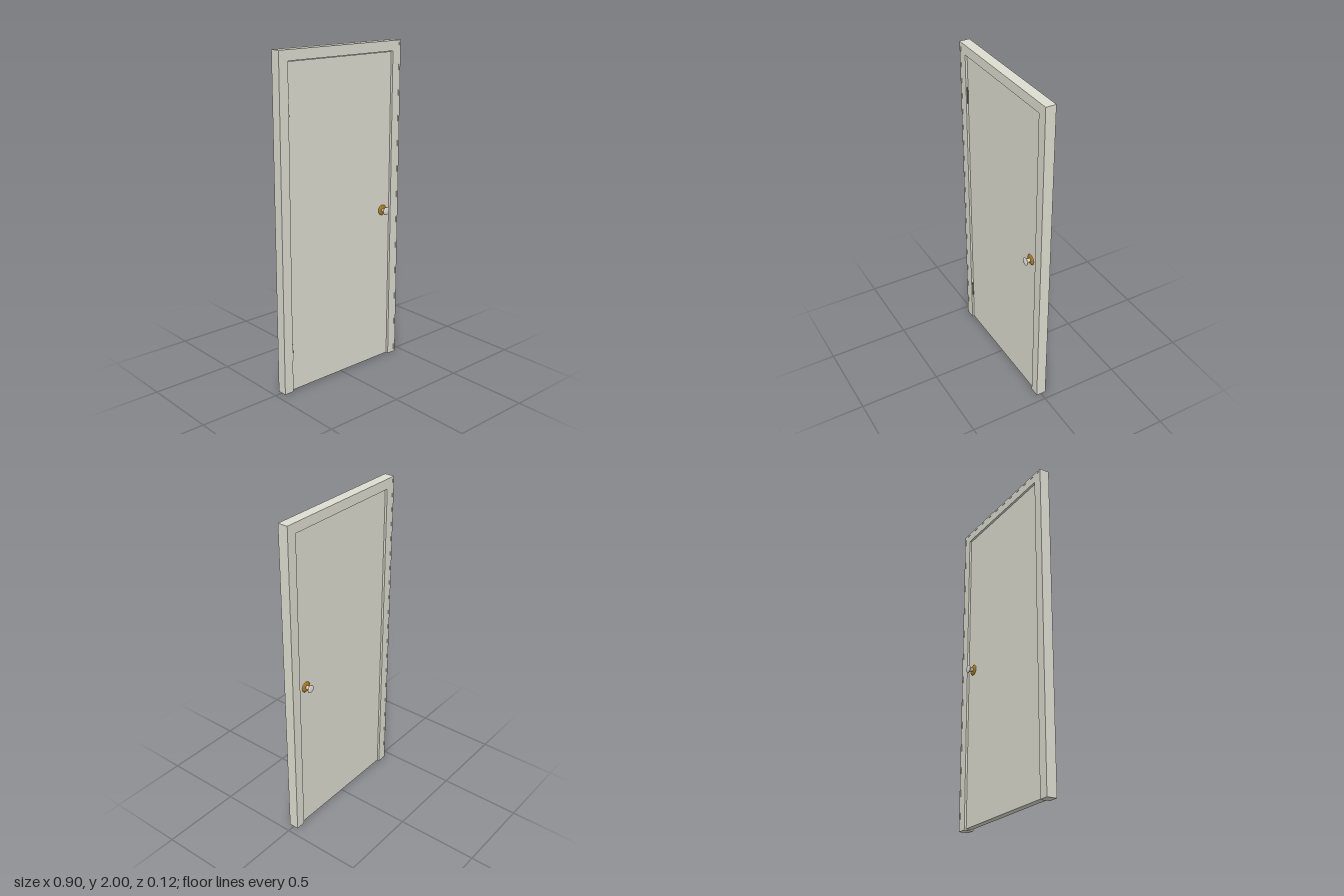
import * as THREE from 'three';

const paint = new THREE.MeshStandardMaterial({ color: 0xdcdccf });
const brass = new THREE.MeshStandardMaterial({ color: 0xb07c1c });
const porcelain = new THREE.MeshStandardMaterial({ color: 0xe2ded6 });
const steel = new THREE.MeshStandardMaterial({ color: 0x77756c });

// Upside-down U: outer half-width and top, inner half-width and top, depth
function portal(name, outX, outY, inX, inY, depth) {
  const shape = new THREE.Shape([
    [-outX, 0], [-inX, 0], [-inX, inY], [inX, inY],
    [inX, 0], [outX, 0], [outX, outY], [-outX, outY],
  ].map(([x, y]) => new THREE.Vector2(x, y)));
  const geometry = new THREE.ExtrudeGeometry(shape, { depth, bevelEnabled: false });
  geometry.translate(0, 0, -depth / 2);
  const mesh = new THREE.Mesh(geometry, paint);
  mesh.name = name;
  return mesh;
}

// Turned part whose axis runs along +z; profile is [radius, z]
function turned(name, profile, material) {
  const points = profile.map(([r, z]) => new THREE.Vector2(r, z));
  const geometry = new THREE.LatheGeometry(points, 32).rotateX(Math.PI / 2);
  const mesh = new THREE.Mesh(geometry, material);
  mesh.name = name;
  return mesh;
}

export function createModel() {
  const model = new THREE.Group();
  model.name = 'door';

  // Frame: outer rim, main jamb set back by a hair, and stop behind the gap
  model.add(portal('frameRim', 0.452, 2, 0.44, 1.987, 0.062));
  model.add(portal('frameJamb', 0.44, 1.987, 0.39, 1.94, 0.06));
  model.add(portal('doorStop', 0.39, 1.94, 0.385, 1.935, 0.016));

  // Door leaf
  const leaf = new THREE.Mesh(new THREE.BoxGeometry(0.77, 1.93, 0.04), paint);
  leaf.name = 'doorLeaf';
  leaf.position.set(0, 0.971, 0);
  model.add(leaf);

  // Hinge knuckles on the front
  for (const y of [0.25, 1.69]) {
    const hinge = new THREE.Mesh(new THREE.CylinderGeometry(0.005, 0.005, 0.1, 12), steel);
    hinge.name = 'hinge';
    hinge.position.set(-0.387, y, 0.022);
    model.add(hinge);
  }

  // Knob and rose on each face
  for (const turn of [0, Math.PI]) {
    const handle = new THREE.Group();
    handle.name = turn ? 'backHandle' : 'frontHandle';
    handle.add(turned('rose', [
      [0.032, 0.018], [0.032, 0.022], [0.029, 0.025], [0.022, 0.027], [0.013, 0.028], [0, 0.028],
    ], brass));
    handle.add(turned('knob', [
      [0.011, 0.024], [0.011, 0.034], [0.013, 0.041], [0.017, 0.047], [0.022, 0.052],
      [0.024, 0.055], [0.0235, 0.058], [0.02, 0.0605], [0.012, 0.062], [0, 0.0625],
    ], porcelain));
    handle.position.set(0.33, 0.98, 0);
    handle.rotation.y = turn;
    model.add(handle);
  }
  return model;
}
